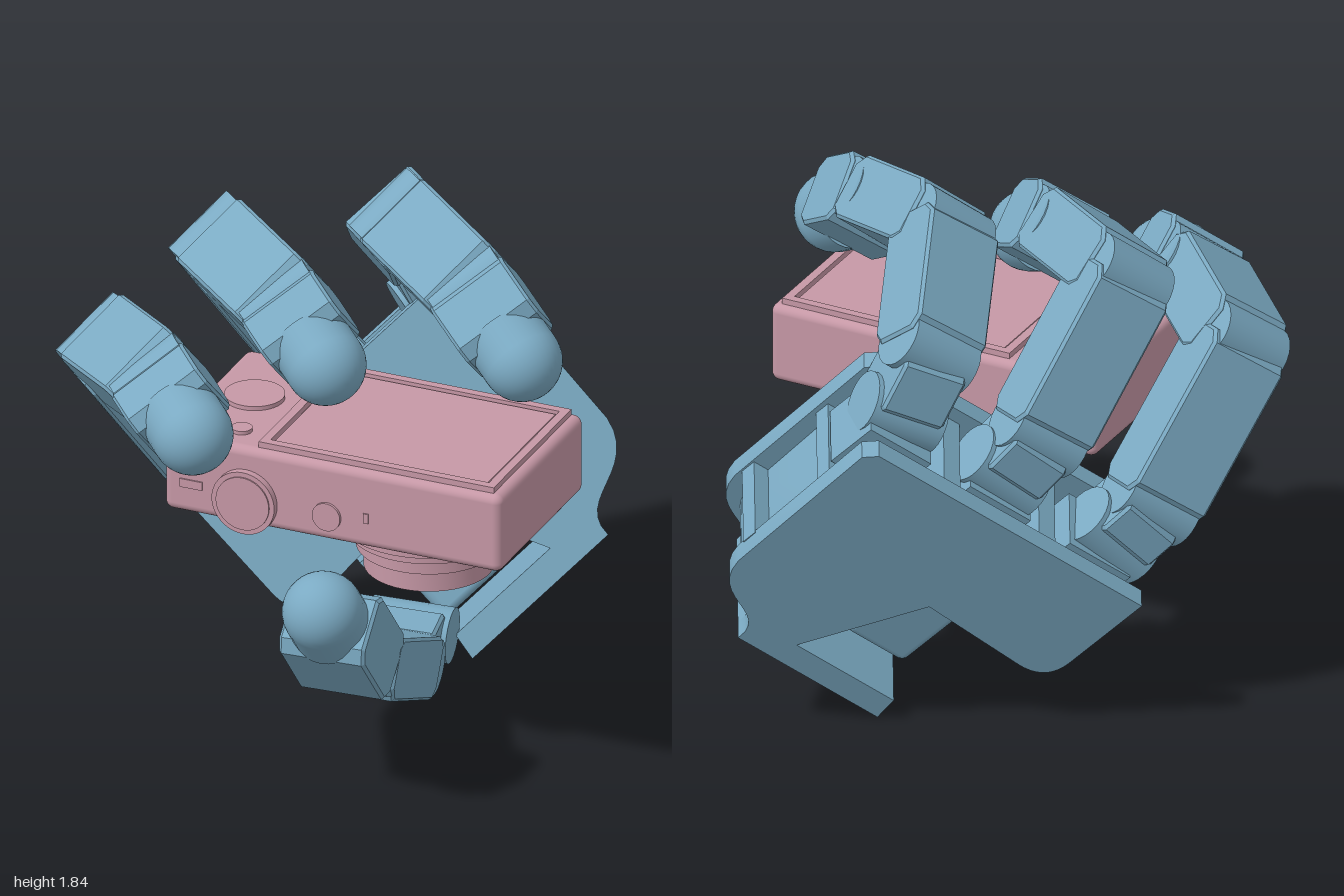
import * as THREE from 'three';
import { RoundedBoxGeometry } from 'three/addons/geometries/RoundedBoxGeometry.js';
import { toCreasedNormals } from 'three/addons/utils/BufferGeometryUtils.js';

const V = (x, y, z) => new THREE.Vector3(x, y, z);
const handMat = new THREE.MeshStandardMaterial({ color: 0x7baac3 });
const cameraMat = new THREE.MeshStandardMaterial({ color: 0xc698a6 });

// Palm frame: across the knuckles, towards the fingers, out of the palm
const ACROSS = V(0.56, 0.61, -0.56).normalize();
const NORMAL = V(0.45, 0.35, 0.82).normalize();
const FORWARD = NORMAL.clone().cross(ACROSS).normalize();

function add(parent, name, geo, mat, x = 0, y = 0, z = 0) {
  const m = new THREE.Mesh(geo, mat);
  m.name = name;
  m.position.set(x, y, z);
  parent.add(m);
  return m;
}

// Group at `from`, with y pointing to `to` and x along `side`
function aim(name, from, to, side) {
  const g = new THREE.Group();
  const y = to.clone().sub(from).normalize();
  const z = side.clone().cross(y).normalize();
  const x = y.clone().cross(z);
  g.quaternion.setFromRotationMatrix(new THREE.Matrix4().makeBasis(x, y, z));
  g.position.copy(from);
  g.name = name;
  return g;
}

function polygon(points) {
  return new THREE.Shape(points.map(p => new THREE.Vector2(p[0], p[1])));
}

// Finger link: side profile with clipped corners, extruded across the finger
function linkGeometry(y0, y1, width, depth) {
  const d = depth / 2, c = 0.04;
  const profile = polygon([
    [-d, y0 + c], [-d + 0.03, y0], [d - c, y0], [d, y0 + c],
    [d, y1 - c], [d - c, y1], [-d + 0.03, y1], [-d, y1 - c]]);
  const bevel = 0.01;
  const geo = new THREE.ExtrudeGeometry(profile, {
    depth: width - 2 * bevel, bevelEnabled: true, bevelSize: bevel,
    bevelOffset: -bevel, bevelThickness: bevel, bevelSegments: 1 });
  geo.translate(0, 0, -width / 2 + bevel);
  geo.rotateY(Math.PI / 2);
  return geo;
}

function makeDigit(name, joints, side, width, depth) {
  const digit = new THREE.Group();
  digit.name = name;
  const last = joints.length - 2;
  for (let i = 0; i <= last; i++) {
    const len = joints[i].distanceTo(joints[i + 1]);
    const link = aim(i === last ? 'fingertip' : 'link' + (i + 1), joints[i], joints[i + 1], side);
    const hinge = new THREE.CylinderGeometry(depth * 0.45, depth * 0.45, width * 0.92, 24);
    hinge.rotateZ(Math.PI / 2);
    add(link, 'hinge', hinge, handMat);
    if (i < last) {
      const w = i === 0 ? width * 0.8 : width;
      add(link, 'shell', linkGeometry(0, len + 0.01, w, depth), handMat);
    } else {
      const r = 0.135;
      add(link, 'shell', linkGeometry(-0.01, len - 0.07, width, 0.25), handMat);
      add(link, 'sleeve', new THREE.CylinderGeometry(r, r, 0.12, 32), handMat, 0, len - 0.06, 0);
      add(link, 'tip', new THREE.SphereGeometry(r, 32, 20), handMat, 0, len, 0);
    }
    digit.add(link);
  }
  return digit;
}

// Palm outline; `inset` pulls in the knuckle edge, `left` and `trim` the two sides
function palmOutline(inset, left, trim) {
  const s = new THREE.Shape();
  const right = 1.175 - trim;
  s.moveTo(left, -inset);
  s.lineTo(left, -0.36);
  s.quadraticCurveTo(left, -0.48, left + 0.12, -0.475);
  s.lineTo(0.53, -0.45);      // thumb slot
  s.lineTo(0.74, -0.87);
  s.lineTo(0.32, -0.87);
  s.lineTo(0.308, -0.966);
  s.lineTo(0.91, -0.966);
  s.bezierCurveTo(0.9, -0.8, right - 0.05, -0.88, right - 0.02, -0.68);
  s.lineTo(right, -inset - 0.04);
  s.lineTo(right - 0.04, -inset);
  s.closePath();
  return s;
}

function palmLayer(parent, name, inset, left, trim, z0, z1) {
  const geo = new THREE.ExtrudeGeometry(palmOutline(inset, left, trim), {
    depth: z1 - z0, bevelEnabled: false, curveSegments: 12 });
  add(parent, name, toCreasedNormals(geo, 0.6), handMat, 0, 0, z0);
}

function makePalm() {
  const palm = new THREE.Group();
  palm.name = 'palm';
  palm.quaternion.setFromRotationMatrix(new THREE.Matrix4().makeBasis(ACROSS, FORWARD, NORMAL));
  palm.position.set(-0.62, 0.51, -0.31);
  palmLayer(palm, 'backPlate', 0, 0, 0, 0, 0.07);
  palmLayer(palm, 'core', 0.2, 0.13, 0.06, 0.07, 0.37);
  palmLayer(palm, 'palmPlate', -0.03, -0.03, -0.01, 0.37, 0.435);
  // Ribs between the finger sockets
  for (const x of [0.39, 0.8])
    add(palm, 'socketRib', new THREE.BoxGeometry(0.07, 0.22, 0.32), handMat, x, -0.13, 0.22);
  // Knuckle blocks
  for (const x of [0.17, 0.6, 1.03])
    add(palm, 'knuckleBlock', new THREE.BoxGeometry(0.26, 0.2, 0.22), handMat, x, -0.11, 0.22);
  // Ribs on the outer side
  for (const y of [-0.25, -0.62])
    add(palm, 'sideRib', new THREE.BoxGeometry(0.08, 0.06, 0.32), handMat, 1.12, y, 0.22);
  // Thumb mount inside the slot
  add(palm, 'thumbMount', new RoundedBoxGeometry(0.26, 0.3, 0.34, 2, 0.03), handMat, 0.46, -0.66, 0.28);
  add(palm, 'thumbBracket', new THREE.BoxGeometry(0.3, 0.06, 0.3), handMat, 0.4, -0.5, 0.38);
  return palm;
}

function makeCamera() {
  const cam = new THREE.Group();
  cam.name = 'camera';
  const put = (name, geo, x, y, z) => add(cam, name, geo, cameraMat, x, y, z);
  const disc = (name, r, h, x, y, z, facing) => {
    const geo = new THREE.CylinderGeometry(r, r, h, 40);
    if (facing) geo.rotateX(Math.PI / 2);
    put(name, geo, x, y, z);
  };
  put('body', new RoundedBoxGeometry(1.205, 0.28, 0.68, 4, 0.03), 0.2525, 1.04, 0.215);

  // Screen with a raised frame
  const rect = (w, h) => polygon([[-w, -h], [w, -h], [w, h], [-w, h]]);
  const frame = rect(0.42, 0.315);
  frame.holes.push(rect(0.39, 0.285));
  const frameGeo = new THREE.ExtrudeGeometry(frame, { depth: 0.03, bevelEnabled: false });
  frameGeo.rotateX(-Math.PI / 2);
  put('screenFrame', frameGeo, 0.4, 1.17, 0.215);
  put('screen', new THREE.BoxGeometry(0.76, 0.02, 0.55), 0.4, 1.182, 0.215);

  // Controls beside the screen
  disc('controlWheel', 0.1, 0.02, -0.18, 1.185, 0.2);
  for (const [x, z] of [[-0.12, -0.03], [-0.23, 0.4], [-0.12, 0.44]])
    disc('button', 0.035, 0.02, x, 1.183, z);

  // Controls on the front edge
  disc('modeDial', 0.112, 0.05, -0.055, 0.99, 0.555, true);
  disc('modeDialCap', 0.095, 0.06, -0.055, 0.99, 0.555, true);
  disc('shutterButton', 0.05, 0.03, 0.235, 0.99, 0.55, true);
  put('powerSlider', new THREE.BoxGeometry(0.08, 0.03, 0.02), -0.25, 1.01, 0.55);
  put('indicator', new THREE.BoxGeometry(0.018, 0.035, 0.02), 0.375, 1.01, 0.55);

  // Stepped lens barrel with a shallow recessed mouth
  const profile = [[0, 0.735], [0.1, 0.735], [0.11, 0.71], [0.215, 0.71], [0.215, 0.785],
    [0.24, 0.785], [0.24, 0.835], [0.265, 0.835], [0.265, 0.87], [0.295, 0.87], [0.295, 0.91]];
  const lens = new THREE.LatheGeometry(profile.map(p => new THREE.Vector2(p[0], p[1])), 48);
  put('lens', toCreasedNormals(lens, 0.5), 0.45, 0, 0.215);
  put('lensShutter', new THREE.BoxGeometry(0.12, 0.02, 0.06), 0.45, 0.73, 0.215);
  disc('lamp', 0.02, 0.02, 0.07, 0.9, 0.45);
  return cam;
}

export function createModel() {
  const model = new THREE.Group();
  model.name = 'handHoldingCamera';
  const hand = new THREE.Group();
  hand.name = 'hand';
  model.add(hand, makeCamera());
  hand.add(makePalm());

  // Three fingers, each from palm socket to tip centre
  const fingers = {
    indexFinger: [V(0.08, 1.23, -0.69), V(0.0, 1.44, -0.62), V(0.14, 1.69, -0.25), V(0.5, 1.6, -0.03), V(0.73, 1.45, 0.1)],
    middleFinger: [V(-0.18, 0.97, -0.46), V(-0.29, 1.11, -0.4), V(-0.43, 1.57, -0.08), V(-0.07, 1.53, 0.19), V(0.13, 1.42, 0.33)],
    outerFinger: [V(-0.45, 0.68, -0.2), V(-0.56, 0.8, -0.13), V(-0.71, 1.27, 0.2), V(-0.39, 1.33, 0.5), V(-0.2, 1.25, 0.66)],
  };
  for (const [name, joints] of Object.entries(fingers))
    hand.add(makeDigit(name, joints, ACROSS, 0.29, 0.23));

  // Thumb rising from the slot below the lens
  const thumb = [V(0.24, 0.27, -0.12), V(0.27, 0.25, 0.07), V(0.35, 0.5, 0.6), V(0.36, 0.81, 0.87)];
  hand.add(makeDigit('thumb', thumb, V(-1, 0.05, 0.1), 0.3, 0.21));
  return model;
}
